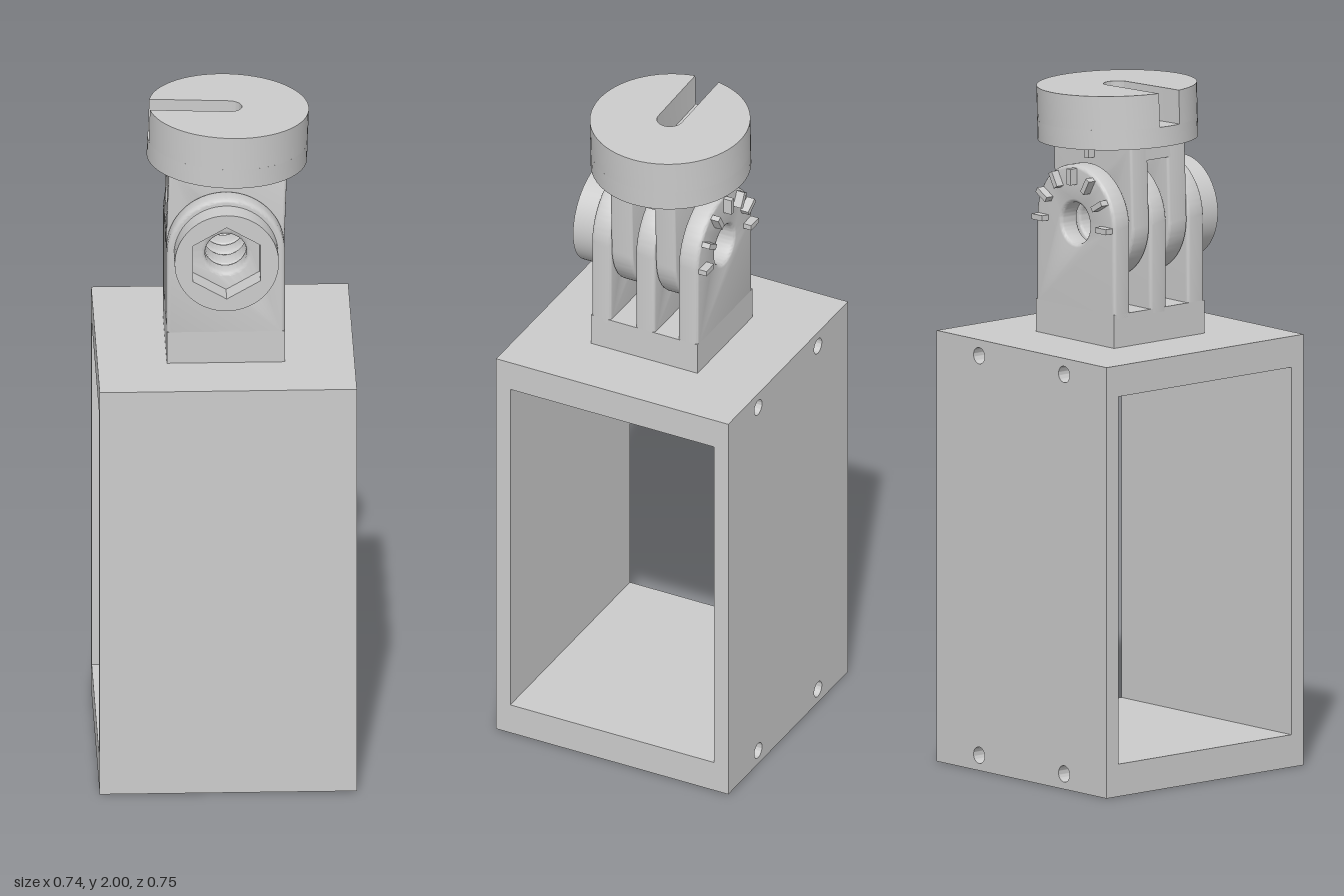
import * as THREE from 'three';
import { toCreasedNormals } from 'three/addons/utils/BufferGeometryUtils.js';

const material = new THREE.MeshStandardMaterial({ color: 0xcccccc });
const PIVOT_Y = 1.605, ARM_R = 0.17, BORE_R = 0.06;

function add(parent, name, geometry) {
  const mesh = new THREE.Mesh(geometry, material);
  mesh.name = name;
  parent.add(mesh);
  return mesh;
}

// box given by its limits on each axis
function box(x0, x1, y0, y1, z0, z1) {
  return new THREE.BoxGeometry(x1 - x0, y1 - y0, z1 - z0)
    .translate((x0 + x1) / 2, (y0 + y1) / 2, (z0 + z1) / 2);
}

// shape in the xy plane, filled from z0 to z1, with optional rounded rims
function slab(shape, z0, z1, bevel = 0) {
  const geometry = new THREE.ExtrudeGeometry(shape, {
    depth: z1 - z0 - 2 * bevel, curveSegments: 32, bevelEnabled: bevel > 0,
    bevelSize: bevel, bevelThickness: bevel, bevelOffset: -bevel, bevelSegments: 3,
  });
  return toCreasedNormals(geometry.translate(0, 0, z0 + bevel), 0.6);
}

function polygon(points) {
  return new THREE.Shape(points.map(([x, y]) => new THREE.Vector2(x, y)));
}

function circleHole(x, y, r) {
  return new THREE.Path().absarc(x, y, r, 0, Math.PI * 2, true);
}

// arm with one round end about the pivot and one square end at y = end
function armShape(end) {
  const s = new THREE.Shape();
  if (end < 0) {
    s.moveTo(-ARM_R, end).lineTo(ARM_R, end).lineTo(ARM_R, 0);
    s.absarc(0, 0, ARM_R, 0, Math.PI, false);
  } else {
    s.moveTo(ARM_R, end).lineTo(-ARM_R, end).lineTo(-ARM_R, 0);
    s.absarc(0, 0, ARM_R, Math.PI, Math.PI * 2, false);
  }
  s.holes.push(circleHole(0, 0, BORE_R));
  return s;
}

// plate across the back of the housing with a row of screw holes at each given height
function drilledPlate(y0, y1, z0, z1, holeHeights) {
  const s = polygon([[-0.37, y0], [0.37, y0], [0.37, y1], [-0.37, y1]]);
  for (const y of holeHeights) {
    for (const x of [-0.185, 0.185]) s.holes.push(circleHole(x, y, 0.024));
  }
  return slab(s, z0, z1);
}

function buildHousing() {
  const housing = new THREE.Group();
  housing.name = 'housing';
  // front wall with the top and bottom walls, running along x
  const channel = polygon([
    [-0.378, 0], [0.25, 0], [0.25, 0.095], [-0.332, 0.095],
    [-0.332, 1.172], [0.25, 1.172], [0.25, 1.263], [-0.378, 1.263],
  ]);
  add(housing, 'frontChannel', slab(channel, -0.37, 0.37).rotateY(Math.PI / 2));
  // back wall and the drilled ends of the top and bottom walls
  add(housing, 'backWall', drilledPlate(0, 1.263, -0.376, -0.33, [0.045, 1.216]));
  add(housing, 'lowerScrewBar', drilledPlate(0, 0.095, -0.33, -0.25, [0.045]));
  add(housing, 'upperScrewBar', drilledPlate(1.172, 1.263, -0.33, -0.25, [1.216]));
  return housing;
}

function buildLowerFork() {
  const fork = new THREE.Group();
  fork.name = 'lowerFork';
  fork.position.y = PIVOT_Y;
  add(fork, 'forkBase', box(-ARM_R, ARM_R, 1.26 - PIVOT_Y, 1.36 - PIVOT_Y, -0.171, 0.175));
  for (const [z0, z1] of [[0.111, 0.175], [-0.032, 0.032], [-0.171, -0.107]]) {
    add(fork, 'forkProng', slab(armShape(-0.258), z0, z1, 0.011));
  }
  // round boss with a hexagonal socket
  const boss = new THREE.Shape().absarc(0, 0, 0.15, 0, Math.PI * 2, false);
  const hex = [];
  for (let i = 0; i < 6; i++) {
    const a = Math.PI / 2 - i * Math.PI / 3;
    hex.push(new THREE.Vector2(0.112 * Math.cos(a), 0.112 * Math.sin(a)));
  }
  boss.holes.push(new THREE.Path(hex));
  add(fork, 'hexSocketBoss', slab(boss, 0.173, 0.244));
  // raised angle marks over the top half of the rear prong
  for (let i = 0; i <= 6; i++) {
    const mark = add(fork, 'angleMark', box(0.115, 0.162, -0.008, 0.008, -0.196, -0.165));
    mark.rotation.z = i * Math.PI / 6;
  }
  return fork;
}

function buildTiltHead() {
  const head = new THREE.Group();
  head.name = 'tiltHead';
  head.position.y = PIVOT_Y;
  head.rotation.z = -0.035;
  for (const [z0, z1] of [[0.04, 0.11], [-0.1, -0.034]]) {
    add(head, 'headFinger', slab(armShape(0.235), z0, z1, 0.008));
  }
  // bridge between the fingers, open in the middle
  add(head, 'fingerBridge', box(-ARM_R, -0.055, 0.185, 0.235, -0.045, 0.05));
  add(head, 'fingerBridge', box(0.04, ARM_R, 0.185, 0.235, -0.045, 0.05));
  add(head, 'anglePointer', box(-0.01, 0.01, 0.185, 0.235, -0.122, -0.09));

  // round cap: lower disc with a short through hole, upper disc with an open slot
  const R = 0.231, w = 0.038, a = Math.asin(w / R);
  const lower = new THREE.Shape().absarc(0, 0, R, 0, Math.PI * 2, false);
  const hole = new THREE.Path();
  hole.moveTo(-0.055, -w).lineTo(-0.055, w).lineTo(0, w);
  hole.absarc(0, 0, w, Math.PI / 2, -Math.PI / 2, true);
  lower.holes.push(hole);
  const upper = new THREE.Shape().absarc(0, 0, R, -Math.PI + a, Math.PI - a, false);
  upper.lineTo(0, w);
  upper.absarc(0, 0, w, Math.PI / 2, -Math.PI / 2, true);
  add(head, 'capLower', slab(lower, 0.23, 0.288).rotateX(-Math.PI / 2));
  add(head, 'capUpper', slab(upper, 0.288, 0.387).rotateX(-Math.PI / 2));
  return head;
}

export function createModel() {
  const model = new THREE.Group();
  model.name = 'swivelMount';
  model.add(buildHousing(), buildLowerFork(), buildTiltHead());
  return model;
}
